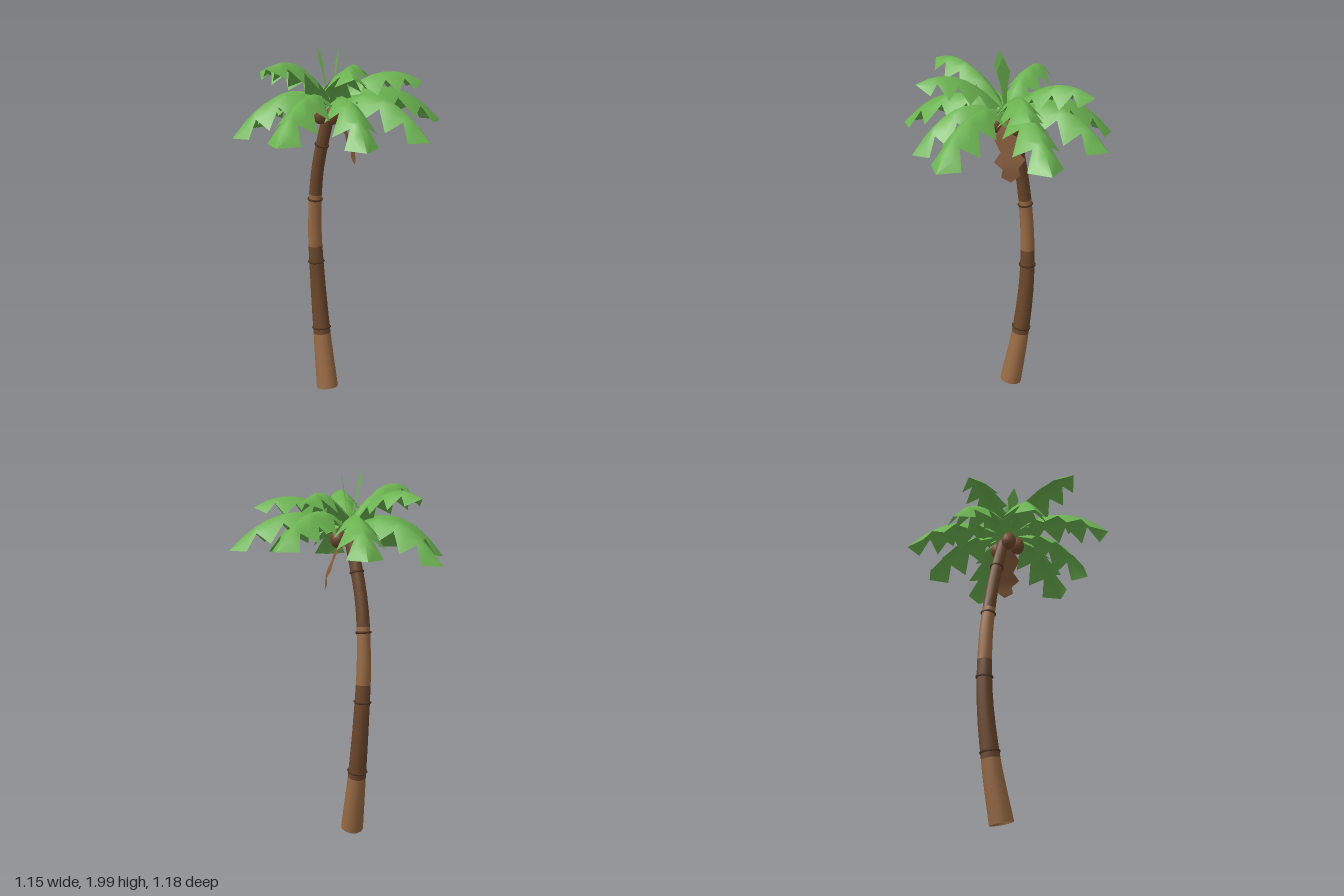
import * as THREE from 'three';

const material = (name, color, side = THREE.FrontSide) => {
  const m = new THREE.MeshStandardMaterial({ color, side });
  m.name = name;
  return m;
};

export function createModel() {
  const palm = new THREE.Group();
  palm.name = 'palmTree';
  const lightBark = material('lightBark', 0x986a43, THREE.DoubleSide);
  const darkBark = material('darkBark', 0x6b472b);
  const ringBrown = material('ringBrown', 0x50341f);
  const nutBrown = material('nutBrown', 0x74492e);
  const dryBrown = material('dryBrown', 0x865c3c, THREE.DoubleSide);
  const leafGreen = material('leafGreen', 0x6bb350, THREE.DoubleSide);

  const add = (name, geometry, mat) => {
    const mesh = new THREE.Mesh(geometry, mat);
    mesh.name = name;
    palm.add(mesh);
    return mesh;
  };

  // Curved, tapering trunk: centre line and radius by height
  const H = 1.65;
  const line = new THREE.CatmullRomCurve3([
    [-0.042, -0.03], [-0.1, -0.062], [-0.14, -0.078],
    [-0.152, -0.07], [-0.12, -0.052], [-0.035, -0.038],
  ].map(([x, z], i) => new THREE.Vector3(x, i * H / 5, z)), false, 'catmullrom', 0.5);
  const radii = [0.063, 0.05, 0.043, 0.038, 0.034, 0.032];
  const radiusAt = (y) => {
    const s = Math.min(y / H * 5, 4.999), i = Math.floor(s);
    return THREE.MathUtils.lerp(radii[i], radii[i + 1], s - i);
  };

  // Trunk bands, open at the ends, with sections square to the lean
  const bands = [[0.018, 0.34, lightBark], [0.34, 0.87, darkBark],
    [0.87, 1.18, lightBark], [1.18, H, darkBark]];
  bands.forEach(([y0, y1, mat], k) => {
    const g = new THREE.CylinderGeometry(1, 1, y1 - y0, 12, 6, true);
    g.translate(0, (y0 + y1) / 2, 0);
    const p = g.attributes.position;
    for (let i = 0; i < p.count; i++) {
      const y = p.getY(i), t = THREE.MathUtils.clamp(y / H, 0, 1);
      const c = line.getPoint(t), d = line.getTangent(t), r = radiusAt(y);
      const ox = p.getX(i) * r, oz = p.getZ(i) * r;
      p.setXYZ(i, c.x + ox, y - (d.x * ox + d.z * oz) / d.y, c.z + oz);
    }
    g.computeVertexNormals();
    add('trunkBand' + (k + 1), g, mat);
  });

  // Thin raised rings around the trunk, following its lean
  const axis = new THREE.Vector3(0, 0, 1);
  [0.375, 0.775, 1.15, 1.465].forEach((y, k) => {
    const ring = add('trunkRing' + (k + 1),
      new THREE.TorusGeometry(radiusAt(y) + 0.002, 0.0065, 5, 10), ringBrown);
    ring.position.copy(line.getPoint(y / H));
    ring.quaternion.setFromUnitVectors(axis, line.getTangent(y / H));
  });

  // Coconuts under the crown
  [[-0.055, 1.64, 0.015], [0, 1.638, -0.095], [0.025, 1.645, 0.02]].forEach(([x, y, z], k) => {
    const nut = add('coconut' + (k + 1), new THREE.SphereGeometry(0.043, 10, 8), nutBrown);
    nut.position.set(x, y, z);
    nut.scale.y = 1.2;
  });

  // Leaf blade through rows of [x, y, z, half width], its halves curling down by droop
  const blade = (name, rows, [sx, sz], droop, mat) => {
    const pos = [], index = [];
    rows.forEach(([x, y, z, w], i) => {
      for (const s of [-1, -0.5, 0, 0.5, 1]) {
        const h = Math.abs(s * w);
        pos.push(x + sx * s * w, y - droop * (0.5 * h + 4 * h * h), z + sz * s * w);
      }
      if (i === 0) return;
      for (let b = i * 5; b < i * 5 + 4; b++) {
        const a = b - 5;
        index.push(a, a + 1, b, a + 1, b + 1, b);
      }
    });
    const g = new THREE.BufferGeometry();
    g.setAttribute('position', new THREE.Float32BufferAttribute(pos, 3));
    g.setIndex(index);
    g.computeVertexNormals();
    add(name, g, mat);
  };

  // Saw-toothed half outline of a frond: [position along it, half width]
  const teeth = [[0, 0.015], [0.1, 0.02], [0.22, 0.1], [0.33, 0.05], [0.45, 0.12], [0.56, 0.06],
    [0.68, 0.12], [0.78, 0.045], [0.87, 0.09], [1, 0.002]];

  // Arched frond from the crown to a tip
  const frond = (name, tip, baseY, arch, width) => {
    const x0 = -0.01, z0 = -0.02;
    const dx = tip[0] - x0, dz = tip[2] - z0, len = Math.hypot(dx, dz);
    const rows = teeth.map(([t, w]) => [
      x0 + dx * t, baseY + (tip[1] - baseY + arch) * t - arch * t * t, z0 + dz * t, w * width]);
    blade(name, rows, [-dz / len, dx / len], 1, leafGreen);
  };

  // Lower tier of long drooping fronds
  [[0.575, 1.55, 0], [0.385, 1.53, 0.29], [0.07, 1.57, 0.585], [-0.36, 1.54, 0.375],
    [-0.575, 1.51, 0.012], [-0.43, 1.55, -0.42], [-0.015, 1.59, -0.595], [0.39, 1.58, -0.51],
  ].forEach((tip, k) => frond('lowerFrond' + (k + 1), tip, 1.68, 0.57, 1));

  // Upper tier of shorter rising fronds
  [[-0.45, 1.84, 0.01], [-0.07, 1.91, 0.46], [0.315, 1.87, 0.3], [0.345, 1.8, -0.365],
    [-0.09, 1.82, -0.475],
  ].forEach((tip, k) => frond('upperFrond' + (k + 1), tip, 1.69, 0.42, 0.88));

  // Two narrow young leaves standing upright at the centre
  [[-0.05, 2, 0.05, 0.7], [0.032, 1.985, -0.025, 0.85]].forEach(([x, y, z, turn], k) => {
    const lerp = THREE.MathUtils.lerp;
    const rows = [[0, 0.004], [0.5, 0.015], [0.78, 0.034], [1, 0.001]].map(([t, w]) => [
      lerp(-0.012, x, t), lerp(1.68, y, t), lerp(-0.015, z, t), w]);
    blade('youngLeaf' + (k + 1), rows, [Math.cos(turn), Math.sin(turn)], 0, leafGreen);
  });

  // Dry leaf hanging from the crown beside the trunk: [offset, height, half width]
  const dryRows = [[0, 1.66, 0.02], [0.022, 1.64, 0.03], [0.036, 1.585, 0.075], [0.055, 1.515, 0.045],
    [0.066, 1.472, 0.083], [0.078, 1.435, 0.042], [0.079, 1.393, 0.05], [0.084, 1.365, 0.002]];
  blade('dryLeaf', dryRows.map(([d, y, w]) => [d, y, -d - 0.022, w]),
    [Math.SQRT1_2, Math.SQRT1_2], 0, dryBrown);

  return palm;
}
